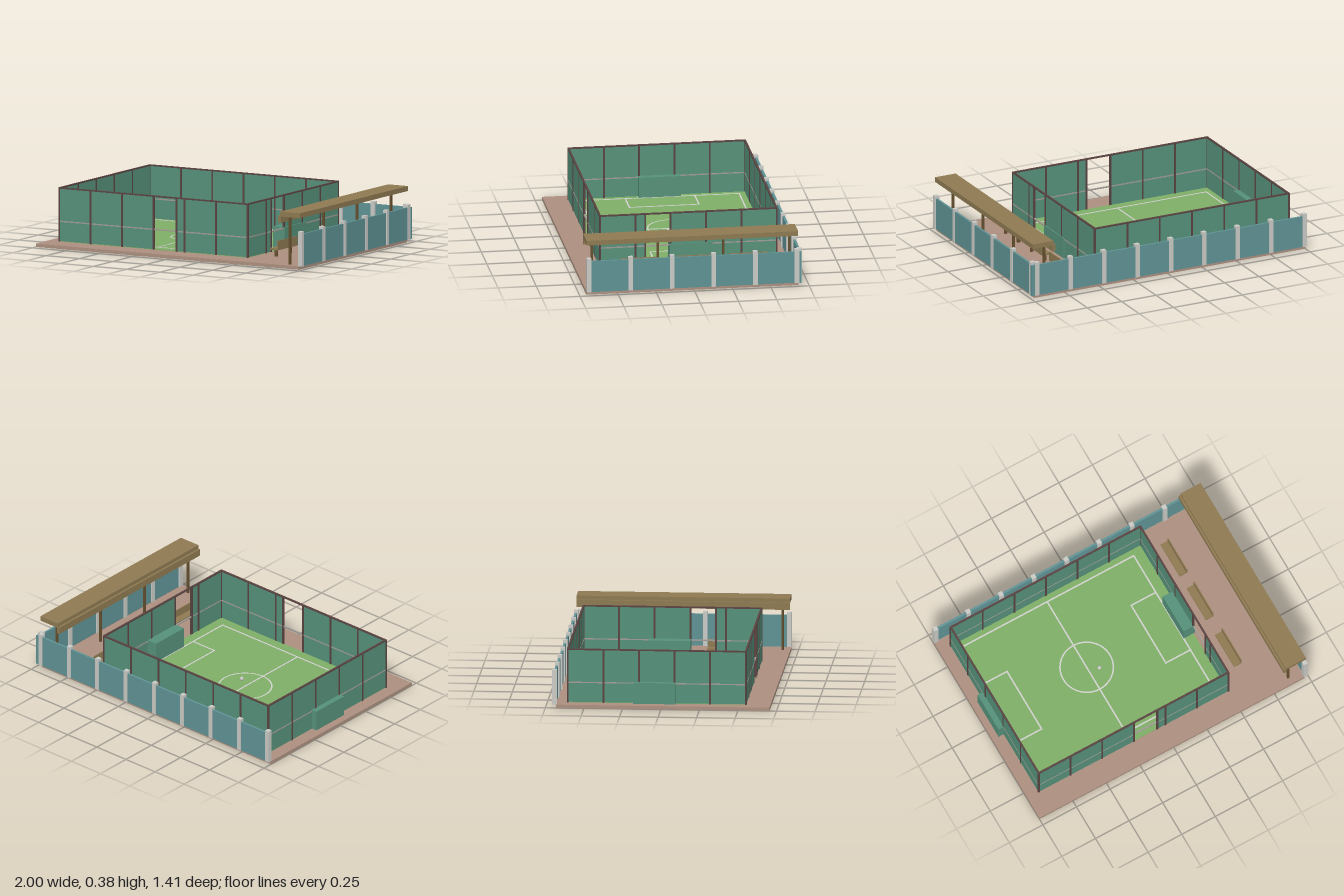
import * as THREE from 'three';

const mat = (name, color) => {
  const m = new THREE.MeshStandardMaterial({ color });
  m.name = name;
  return m;
};

export function createModel() {
  const paving = mat('paving', 0xac9080);
  const grass = mat('grass', 0x7eae66);
  const paint = mat('linePaint', 0xd0d2cc);
  const mesh = mat('cageGreen', 0x56917a);
  const frame = mat('frameBrown', 0x5a4442);
  const rail = mat('railGrey', 0xa29c96);
  const fence = mat('fenceTeal', 0x609395);
  const concrete = mat('concrete', 0xcacac6);
  const wood = mat('wood', 0x8e7a52);
  const darkWood = mat('darkWood', 0x66502f);

  const root = new THREE.Group();
  root.name = 'sportsCourt';

  // Box given by its limits along x, y and z
  const box = (name, m, x0, x1, y0, y1, z0, z1, parent = root) => {
    const b = new THREE.Mesh(new THREE.BoxGeometry(x1 - x0, y1 - y0, z1 - z0), m);
    b.position.set((x0 + x1) / 2, (y0 + y1) / 2, (z0 + z1) / 2);
    b.name = name;
    parent.add(b);
    return b;
  };
  const group = (name) => {
    const g = new THREE.Group();
    g.name = name;
    root.add(g);
    return g;
  };

  // Ground and pitch
  const G = 0.022, P = 0.026;
  const X0 = -0.915, X1 = 0.495, Z0 = -0.61, Z1 = 0.545;
  box('ground', paving, -1, 0.972, 0, G, -0.682, 0.705);
  box('pitch', grass, X0, X1, G - 0.005, P, Z0, Z1);

  // Painted markings
  const marks = group('markings');
  const w = 0.005, LY = P + 0.002;
  const lineX = (x0, x1, z) => box('line', paint, x0 - w, x1 + w, P - 0.001, LY, z - w, z + w, marks);
  const lineZ = (x, z0, z1) => box('line', paint, x - w, x + w, P - 0.001, LY, z0 + w, z1 - w, marks);
  const rect = (x0, x1, z0, z1) => {
    lineX(x0, x1, z0);
    lineX(x0, x1, z1);
    lineZ(x0, z0, z1);
    lineZ(x1, z0, z1);
  };
  rect(-0.87, 0.42, -0.565, 0.47);
  lineZ(-0.224, -0.565, 0.47);
  for (const [a, b] of [[-0.87, -0.687], [0.42, 0.237]]) {
    lineX(Math.min(a, b), Math.max(a, b), -0.275);
    lineX(Math.min(a, b), Math.max(a, b), 0.18);
    lineZ(b, -0.275, 0.18);
  }
  const circle = new THREE.Mesh(new THREE.RingGeometry(0.168, 0.178, 48), paint);
  circle.name = 'centreCircle';
  circle.rotation.x = -Math.PI / 2;
  circle.position.set(-0.224, LY + 0.0005, -0.046);
  marks.add(circle);

  // Ball
  const ball = new THREE.Mesh(new THREE.SphereGeometry(0.013, 16, 12), concrete);
  ball.name = 'ball';
  ball.position.set(-0.155, P + 0.013, 0);
  root.add(ball);

  // Cage: panels with two openings, posts and rails
  const cage = group('cage');
  const H = 0.372, t = 0.003, r = 0.006, MID = 0.155;
  const panelX = (z, x0, x1) => box('cagePanel', mesh, x0, x1, P, H, z - t, z + t, cage);
  const panelZ = (x, z0, z1) => box('cagePanel', mesh, x - t, x + t, P, H, z0, z1, cage);
  const post = (x, z) => box('cagePost', frame, x - r, x + r, G, H, z - r, z + r, cage);
  panelX(Z0, X0, X1);
  panelX(Z1, X0, -0.205);
  panelX(Z1, -0.035, X1);
  panelZ(X0, Z0, Z1);
  panelZ(X1, Z0, 0.083);
  panelZ(X1, 0.25, Z1);
  for (const z of [Z0, Z1]) {
    for (let i = 0; i <= 6; i++) post(X0 + (X1 - X0) * i / 6, z);
    box('topRail', frame, X0 - r, X1 + r, H - 0.004, H + 0.005, z - r, z + r, cage);
    box('middleRail', rail, X0, X1, MID - 0.004, MID + 0.004, z - 0.005, z + 0.005, cage);
  }
  for (const x of [X0, X1]) {
    for (let i = 1; i < 5; i++) post(x, Z0 + (Z1 - Z0) * i / 5);
    box('topRail', frame, x - r, x + r, H - 0.004, H + 0.005, Z0, Z1, cage);
    box('middleRail', rail, x - 0.005, x + 0.005, MID - 0.004, MID + 0.004, Z0, Z1, cage);
  }
  post(-0.035, Z1);
  post(X1, 0.25);

  // Goals set into the end walls
  box('leftGoal', mesh, 0.42, 0.506, P, 0.164, -0.185, 0.09);
  box('rightGoal', mesh, -0.956, -0.87, P, 0.164, -0.185, 0.09);

  // Boundary fence along the back and one side
  const boundary = group('boundaryFence');
  box('backFence', fence, -0.99, 1, G, 0.232, -0.7, -0.685, boundary);
  box('sideFence', fence, 0.976, 0.99, G, 0.232, -0.69, 0.7, boundary);
  const pillar = (x, z) => box('fencePost', concrete, x - 0.015, x + 0.015, G, 0.25, z - 0.015, z + 0.015, boundary);
  for (let i = 0; i < 9; i++) pillar(-0.985 + i * 0.2432, -0.69);
  for (let i = 0; i < 6; i++) pillar(0.981, -0.67 + i * 0.272);

  // Canopy
  const canopy = group('canopy');
  box('roof', wood, 0.832, 0.982, 0.338, 0.37, -0.68, 0.705, canopy);
  box('fascia', wood, 0.818, 0.84, 0.298, 0.345, -0.68, 0.705, canopy);
  for (let i = 0; i < 4; i++) {
    const z = -0.635 + i * 0.43;
    box('canopyPost', darkWood, 0.871, 0.885, G, 0.34, z - 0.007, z + 0.007, canopy);
  }

  // Benches
  for (const z of [-0.405, -0.06, 0.31]) {
    const bench = group('bench');
    box('seat', wood, 0.6, 0.657, 0.068, 0.08, z - 0.125, z + 0.125, bench);
    box('backrest', wood, 0.65, 0.657, 0.08, 0.13, z - 0.125, z + 0.125, bench);
    for (const s of [-0.09, 0.09]) {
      box('benchLeg', darkWood, 0.615, 0.634, G, 0.068, z + s - 0.008, z + s + 0.008, bench);
    }
  }
  return root;
}
